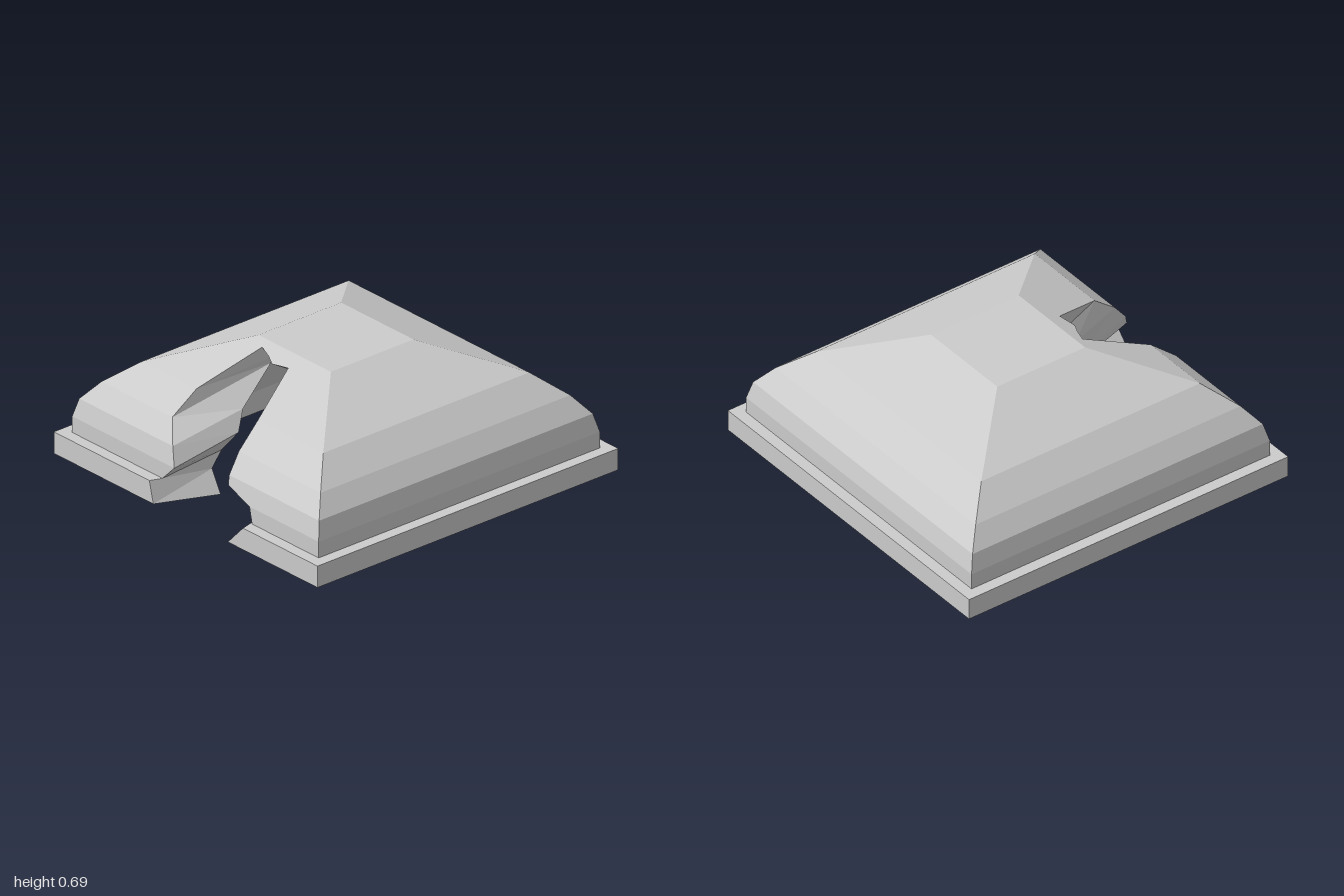
import * as THREE from 'three';

const V = (x, y, z) => new THREE.Vector3(x, y, z);

// Half-width and height of the square cross-sections, bottom to top
const plinthProfile = [[1, 0], [1, 0.12], [0.935, 0.12]];
const domeProfile = [[0.935, 0.12], [0.935, 0.21], [0.91, 0.31], [0.83, 0.41], [0.685, 0.53], [0.275, 0.695]];
const innerProfile = [[0.675, 0], [0.675, 0.12], [0.5, 0.41], [0.2, 0.63]];

// Half-width of a profile at height y
function widthAt(profile, y) {
  for (let i = 1; i < profile.length; i++) {
    const [r0, y0] = profile[i - 1], [r1, y1] = profile[i];
    if (y <= y1) return r0 + (r1 - r0) * (y - y0) / (y1 - y0);
  }
  return profile[profile.length - 1][0];
}
const onProfile = (profile) => ([x, y, z]) => V(x, y, z ?? widthAt(profile, y));

// Triangle helpers
function quad(out, a, b, c, d) { out.push(a, b, c, a, c, d); }
function strip(out, A, B) {
  for (let i = 0; i + 1 < A.length; i++) quad(out, A[i], B[i], B[i + 1], A[i + 1]);
}
function makeMesh(name, points) {
  const g = new THREE.BufferGeometry().setFromPoints(points);
  g.computeVertexNormals();
  const m = new THREE.Mesh(g, new THREE.MeshStandardMaterial({ color: 0xcccccc, flatShading: true, side: THREE.DoubleSide }));
  m.name = name;
  return m;
}

// Back, left and right sides of a square stack
function threeSides(out, profile, inward) {
  for (let k = 1; k < 4; k++) {
    const turn = (p) => p.applyAxisAngle(V(0, 1, 0), k * Math.PI / 2);
    const L = profile.map(([r, y]) => turn(V(-r, y, r)));
    const R = profile.map(([r, y]) => turn(V(r, y, r)));
    inward ? strip(out, R, L) : strip(out, L, R);
  }
}

// Front side: wall strips from each corner to the edge of the hole
function frontSides(out, left, right, inward) {
  const corner = (s) => (p) => V(s * p.z, p.y, p.z);
  const pairs = [[left.map(corner(-1)), left], [right, right.map(corner(1))]];
  for (const [A, B] of pairs) inward ? strip(out, B, A) : strip(out, A, B);
}

// Front wall above the hole, and the flat top
function crown(out, rim, [r, y], inward) {
  const a = rim[0], b = rim[rim.length - 1];
  const outline = [V(-a.z, a.y, a.z), ...rim, V(b.z, b.y, b.z), V(r, y, r), V(-r, y, r)];
  const faces = THREE.ShapeUtils.triangulateShape(outline.map((p) => new THREE.Vector2(p.x, p.y)), []);
  for (const f of faces) {
    const [p, q, s] = f.map((i) => outline[i]);
    inward ? out.push(p, s, q) : out.push(p, q, s);
  }
  const top = [V(-r, y, r), V(r, y, r), V(r, y, -r), V(-r, y, -r)];
  if (inward) top.reverse();
  quad(out, ...top);
}

export function createModel() {
  const group = new THREE.Group();
  group.name = 'brokenDome';

  // Jagged hole: matching points on the outer and inner surfaces
  const outer = onProfile(domeProfile), inner = onProfile(innerProfile);
  const outLeft = [[-0.245, 0, 1], [-0.275, 0.12, 1], [-0.25, 0.12, 0.935], [-0.16, 0.21], [-0.2, 0.31],
    [-0.295, 0.41], [-0.275, 0.53], [-0.19, 0.675]].map(outer);
  const inLeft = [[-0.105, 0], [-0.17, 0.12], [-0.17, 0.12], [-0.16, 0.21], [-0.1, 0.31],
    [-0.135, 0.41], [-0.18, 0.575], [-0.16, 0.62]].map(inner);
  const outRight = [[0.32, 0, 1], [0.435, 0.12, 1], [0.43, 0.12, 0.935], [0.41, 0.21], [0.235, 0.26],
    [0.228, 0.31], [0.21, 0.41], [0.19, 0.53], [0.05, 0.66]].map(outer);
  const inRight = [[0.305, 0], [0.35, 0.12], [0.35, 0.12], [0.32, 0.195], [0.13, 0.26],
    [0.12, 0.31], [0.1, 0.41], [0.11, 0.49], [0.04, 0.59]].map(inner);
  const outTop = [[-0.11, 0.664], [-0.05, 0.652]].map(outer);
  const inTop = [[-0.11, 0.625], [-0.05, 0.622]].map(inner);
  const last = (list) => list[list.length - 1];

  // Plinth with its ledge and underside
  const plinth = [];
  threeSides(plinth, plinthProfile, false);
  frontSides(plinth, outLeft.slice(0, 3), outRight.slice(0, 3), false);
  const loop = (r, a, b) => [a, V(-r, 0, r), V(-r, 0, -r), V(r, 0, -r), V(r, 0, r), b];
  strip(plinth, loop(0.675, inLeft[0], inRight[0]), loop(1, outLeft[0], outRight[0]));
  group.add(makeMesh('plinth', plinth));

  // Outer dome
  const dome = [];
  threeSides(dome, domeProfile, false);
  frontSides(dome, outLeft.slice(2), outRight.slice(2), false);
  crown(dome, [last(outLeft), ...outTop, last(outRight)], last(domeProfile), false);
  group.add(makeMesh('dome', dome));

  // Hollow interior
  const interior = [];
  threeSides(interior, innerProfile, true);
  frontSides(interior, inLeft, inRight, true);
  crown(interior, [last(inLeft), ...inTop, last(inRight)], last(innerProfile), true);
  group.add(makeMesh('interior', interior));

  // Broken wall thickness around the hole
  const edge = [];
  strip(edge, [...outLeft, ...outTop, ...outRight.slice().reverse()],
    [...inLeft, ...inTop, ...inRight.slice().reverse()]);
  group.add(makeMesh('brokenEdge', edge));

  return group;
}
